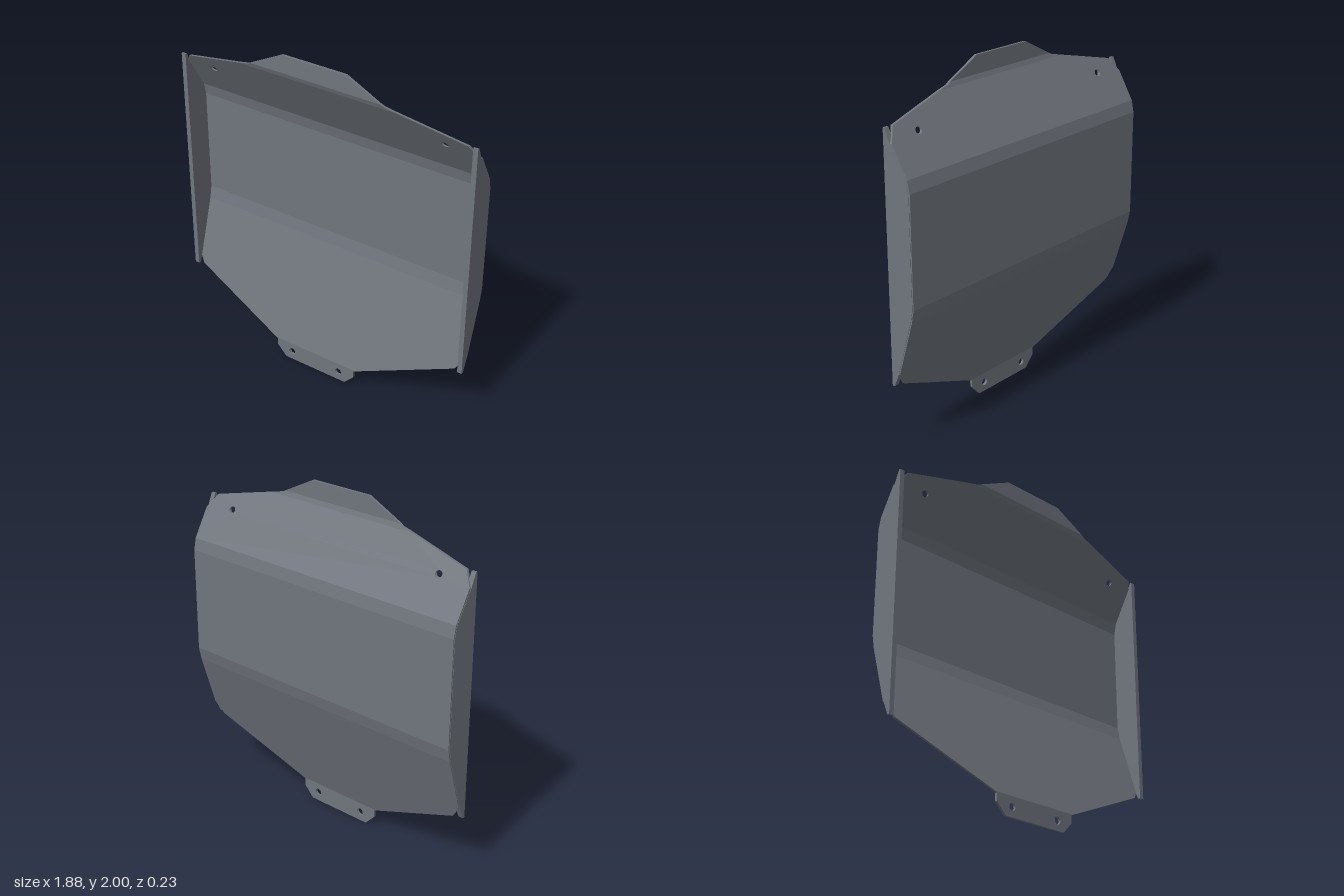
import * as THREE from 'three';

const THICK = 0.015;
// Fold line heights and the depth of the rear face at each: [y, z]
const folds = [[0, 0.1], [0.115, 0.1], [0.775, -0.1], [0.85, -0.115], [1.475, -0.115],
  [1.545, -0.1], [1.87, 0.09], [1.897, 0.1], [2, 0.1]];
// Half width of the sheet by height: [y, x]
const outline = [[0, 0.21], [0.065, 0.272], [0.11, 0.272], [0.37, 0.885], [0.45, 0.938],
  [1.71, 0.938], [1.785, 0.885], [1.885, 0.43], [2, 0.2]];
// Bolt holes, mirrored in x: [x, y, radius x, radius y]
const holes = [[0.142, 1.938, 0.021, 0.021], [0.738, 1.732, 0.021, 0.017], [0.165, 0.057, 0.021, 0.021]];

// Linear interpolation through a list of [key, value] pairs
function sample(table, k) {
  for (let i = 1; i < table.length; i++) {
    const [a, va] = table[i - 1], [b, vb] = table[i];
    if (k <= b) return va + (vb - va) * (k - a) / (b - a);
  }
  return table[table.length - 1][1];
}

// One flat panel of the sheet between two fold lines
function panelGeometry(y0, y1) {
  const ys = [y0, ...outline.map(p => p[0]).filter(y => y > y0 && y < y1), y1];
  const right = ys.map(y => new THREE.Vector2(sample(outline, y), y));
  const left = right.map(p => new THREE.Vector2(-p.x, p.y)).reverse();
  const shape = new THREE.Shape([...right, ...left]);
  for (const [x, y, rx, ry] of holes) {
    if (y < y0 || y > y1) continue;
    for (const s of [-1, 1]) {
      shape.holes.push(new THREE.Path().absellipse(s * x, y, rx, ry, 0, Math.PI * 2, true));
    }
  }
  const geo = new THREE.ExtrudeGeometry(shape, { depth: THICK, bevelEnabled: false, curveSegments: 20 });
  // Lean the panel so it follows the folded profile
  const pos = geo.attributes.position;
  for (let i = 0; i < pos.count; i++) pos.setZ(i, pos.getZ(i) + sample(folds, pos.getY(i)));
  geo.computeVertexNormals();
  return geo;
}

// Side flange: profile drawn in (z, y), extruded across x
function flangeGeometry(width) {
  const pts = [[0.055, 1.785], [0.043, 1.785], [0.01, 1.71]];
  for (const y of [1.545, 1.475, 0.85, 0.775, 0.45]) pts.push([sample(folds, y) + THICK / 2, y]);
  pts.push([0.04, 0.37], [0.055, 0.37]);
  const shape = new THREE.Shape(pts.map(([z, y]) => new THREE.Vector2(-z, y)));
  const geo = new THREE.ExtrudeGeometry(shape, { depth: width, bevelEnabled: false });
  geo.rotateY(Math.PI / 2);
  geo.translate(-width / 2, 0, 0);
  return geo;
}

export function createModel() {
  const model = new THREE.Group();
  model.name = 'foldedGuardPlate';
  const steel = new THREE.MeshStandardMaterial({ color: 0x70757d });
  steel.name = 'greySteel';

  // Folded sheet, bottom to top
  const names = ['bottomTab', 'lowerSlope', 'lowerBend', 'backPanel', 'upperBend', 'upperSlope', 'topBend', 'topTab'];
  const sheet = new THREE.Group();
  sheet.name = 'foldedSheet';
  names.forEach((name, i) => {
    const mesh = new THREE.Mesh(panelGeometry(folds[i][0], folds[i + 1][0]), steel);
    mesh.name = name;
    sheet.add(mesh);
  });
  model.add(sheet);

  // Forward-facing flanges along both sides
  for (const side of [-1, 1]) {
    const flange = new THREE.Mesh(flangeGeometry(0.028), steel);
    flange.name = side > 0 ? 'leftFlange' : 'rightFlange';
    flange.position.x = side * 0.926;
    model.add(flange);
  }
  return model;
}
